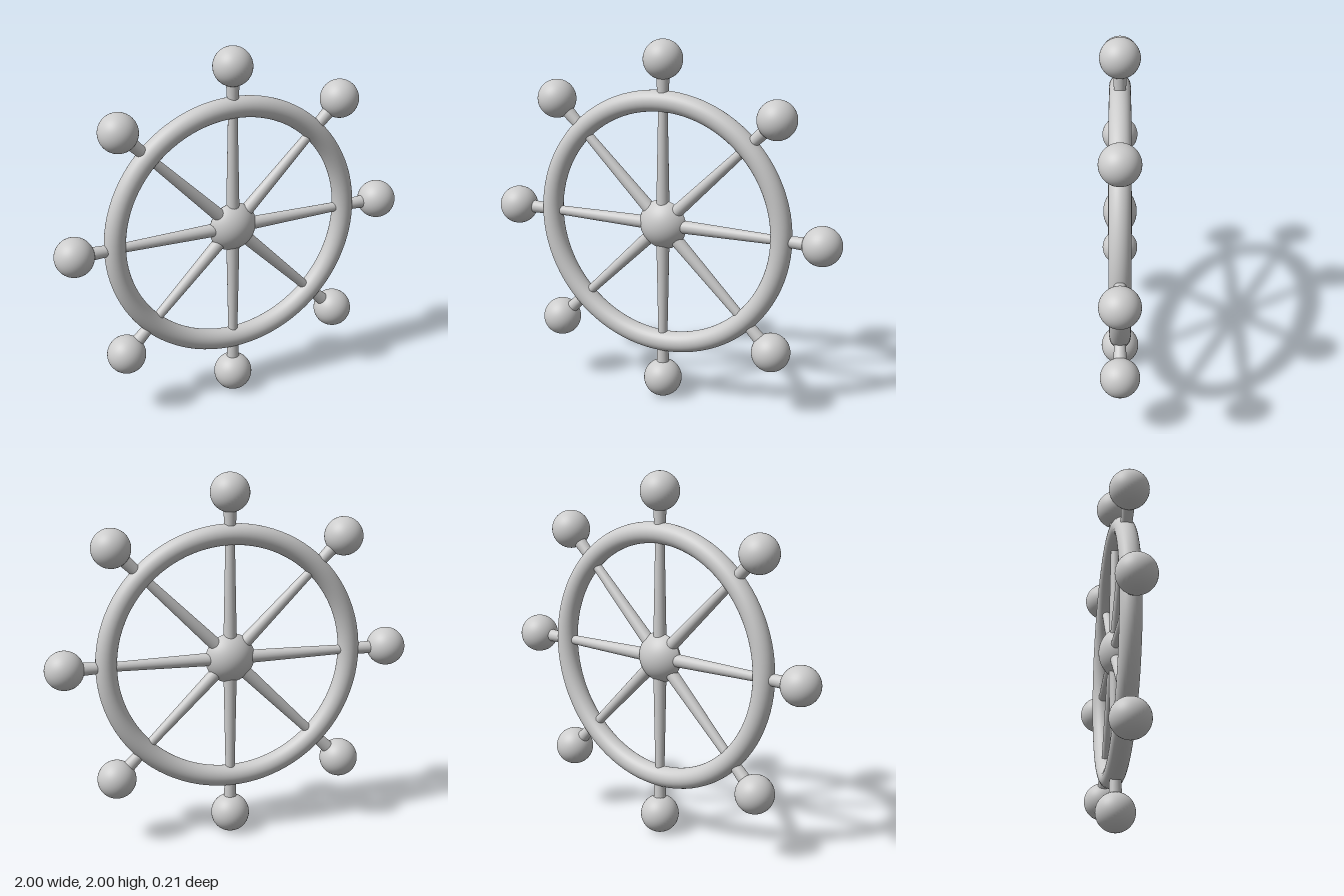
import * as THREE from 'three';

export function createModel() {
  const model = new THREE.Group();
  model.name = 'wheel';
  const grey = new THREE.MeshStandardMaterial({ color: 0xcccccc });
  grey.name = 'light grey';

  const add = (parent, name, geometry) => {
    const mesh = new THREE.Mesh(geometry, grey);
    mesh.name = name;
    parent.add(mesh);
    return mesh;
  };

  const wheel = new THREE.Group();
  wheel.name = 'wheelAssembly';
  wheel.position.y = 1;
  model.add(wheel);

  // Round rim
  add(wheel, 'rim', new THREE.TorusGeometry(0.674, 0.057, 32, 96));

  // Lens-shaped hub: two shallow domes meeting in a sharp edge
  const hubRadius = 0.137, hubDepth = 0.09;
  const domeRadius = (hubRadius ** 2 + hubDepth ** 2) / (2 * hubDepth);
  const domeAngle = Math.asin(hubRadius / domeRadius);
  const domeGeometry = new THREE.SphereGeometry(domeRadius, 48, 14, 0, Math.PI * 2, 0, domeAngle);
  domeGeometry.translate(0, hubDepth - domeRadius, 0);
  add(wheel, 'hubFront', domeGeometry).rotation.x = Math.PI / 2;
  add(wheel, 'hubBack', domeGeometry).rotation.x = -Math.PI / 2;

  // Each arm: spoke tapering to the rim, flared handle and ball knob
  const spokeGeometry = new THREE.CylinderGeometry(0.025, 0.036, 0.57, 24);
  const handleGeometry = new THREE.CylinderGeometry(0.036, 0.029, 0.15, 24);
  const knobGeometry = new THREE.SphereGeometry(0.105, 40, 28);
  for (let i = 0; i < 8; i++) {
    const arm = new THREE.Group();
    arm.name = `arm${i + 1}`;
    arm.rotation.z = (i * Math.PI) / 4;
    wheel.add(arm);
    add(arm, 'spoke', spokeGeometry).position.y = 0.365;
    add(arm, 'handle', handleGeometry).position.y = 0.755;
    add(arm, 'knob', knobGeometry).position.y = 0.895;
  }
  return model;
}
